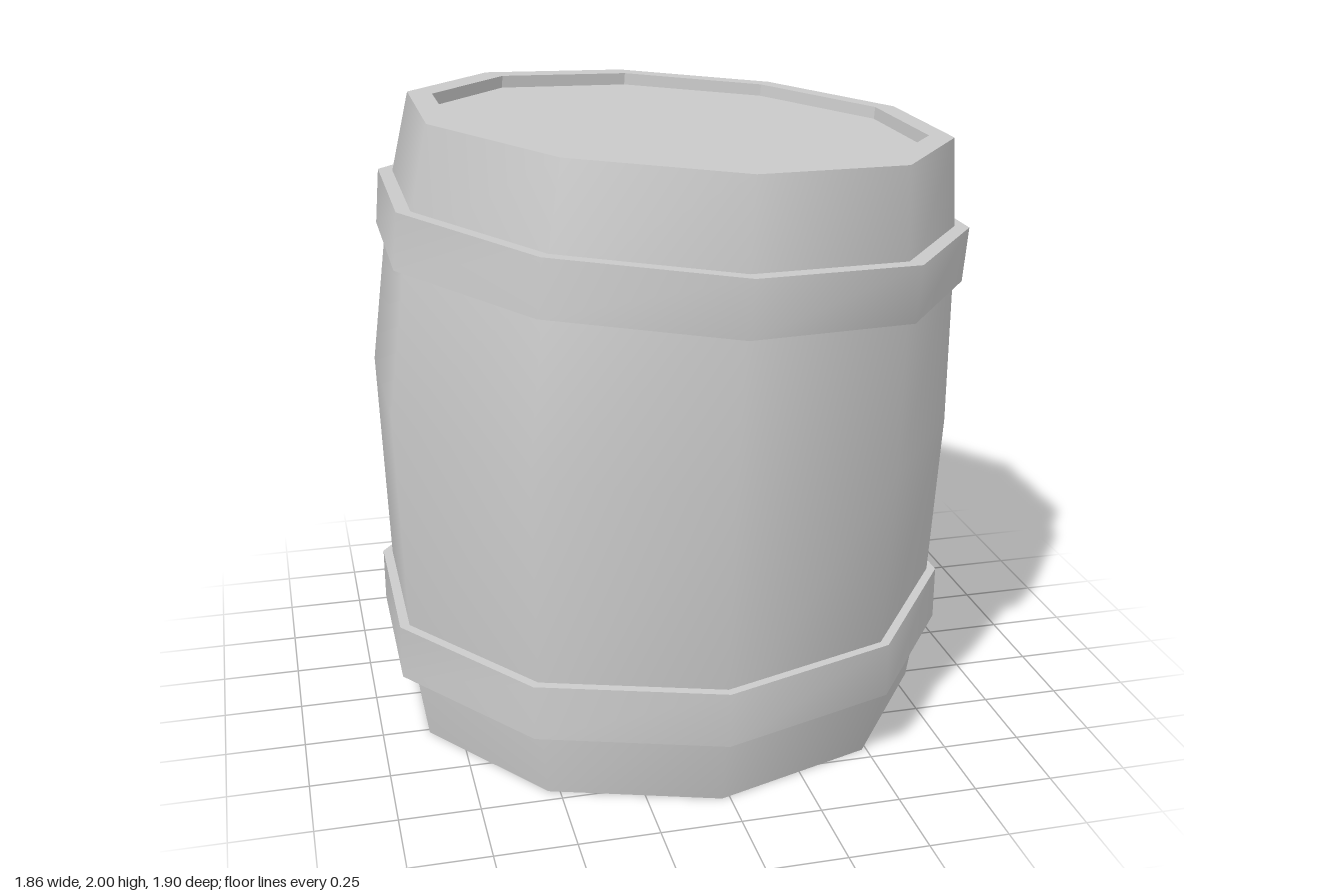
import * as THREE from 'three';
import { mergeGeometries } from 'three/addons/utils/BufferGeometryUtils.js';

const SIDES = 10;

// A ring is [centre x, centre y, radius, tilt in radians]; corners lie on the z axis
function ringPoints([cx, cy, r, tilt]) {
  const points = [];
  for (let i = 0; i < SIDES; i++) {
    const a = ((i + 0.5) / SIDES) * Math.PI * 2;
    const u = r * Math.cos(a);
    points.push(cx + u * Math.cos(tilt), cy - u * Math.sin(tilt), r * Math.sin(a));
  }
  return points;
}

// Skin a run of rings; smooth inside the run, or faceted when flat
function skin(rings, flat = false) {
  const index = [];
  for (let k = 0; k < rings.length - 1; k++) {
    for (let i = 0; i < SIDES; i++) {
      const j = (i + 1) % SIDES;
      const a = k * SIDES + i, b = k * SIDES + j;
      const c = a + SIDES, d = b + SIDES;
      index.push(a, c, b, b, c, d);
    }
  }
  const geo = new THREE.BufferGeometry();
  geo.setAttribute('position', new THREE.Float32BufferAttribute(rings.flatMap(ringPoints), 3));
  geo.setIndex(index);
  const out = flat ? geo.toNonIndexed() : geo;
  out.computeVertexNormals();
  return flat ? out : out.toNonIndexed();
}

// Ring moved along its own tilted axis, with a new radius
function shifted([cx, cy, , tilt], along, r) {
  return [cx + along * Math.sin(tilt), cy + along * Math.cos(tilt), r, tilt];
}

export function createModel() {
  const group = new THREE.Group();
  const material = new THREE.MeshStandardMaterial({ color: 0xcccccc });
  const add = (name, parts) => {
    const mesh = new THREE.Mesh(mergeGeometries(parts), material);
    mesh.name = name;
    group.add(mesh);
  };

  // Leaning stave wall, bottom to top
  const wall = [
    [-0.025, 0, 0.868, 0],
    [-0.025, 0.31, 0.915, 0],
    [-0.02, 1.03, 0.95, 0.092],
    [0.018, 1.585, 0.915, 0.086],
    [0.05, 1.94, 0.865, 0.073],
  ];
  const bottom = wall[0], top = wall[wall.length - 1];
  add('barrelWall', [skin(wall)]);

  // Rims and recessed ends
  const inner = 0.785, depth = 0.04;
  const topRim = shifted(top, 0, inner), topFloor = shifted(top, -depth, inner);
  add('topRim', [skin([top, topRim], true), skin([topRim, topFloor], true)]);
  add('lid', [skin([topFloor, shifted(top, -depth, 0)], true)]);

  const lowRim = shifted(bottom, 0, inner), lowFloor = shifted(bottom, depth, inner);
  add('bottomRim', [skin([lowRim, bottom], true), skin([lowFloor, lowRim], true)]);
  add('base', [skin([shifted(bottom, depth, 0), lowFloor], true)]);

  // Hoops around the wall
  const hoops = {
    lowerHoop: [-0.025, 0.318, 0.95, 0],
    upperHoop: [0.019, 1.585, 0.95, 0.0864],
  };
  for (const [name, ring] of Object.entries(hoops)) {
    const h = 0.088, hidden = 0.87;
    const low = shifted(ring, -h, 0.95), high = shifted(ring, h, 0.95);
    add(name, [
      skin([shifted(ring, -h, hidden), low], true),
      skin([low, high]),
      skin([high, shifted(ring, h, hidden)], true),
    ]);
  }
  return group;
}
